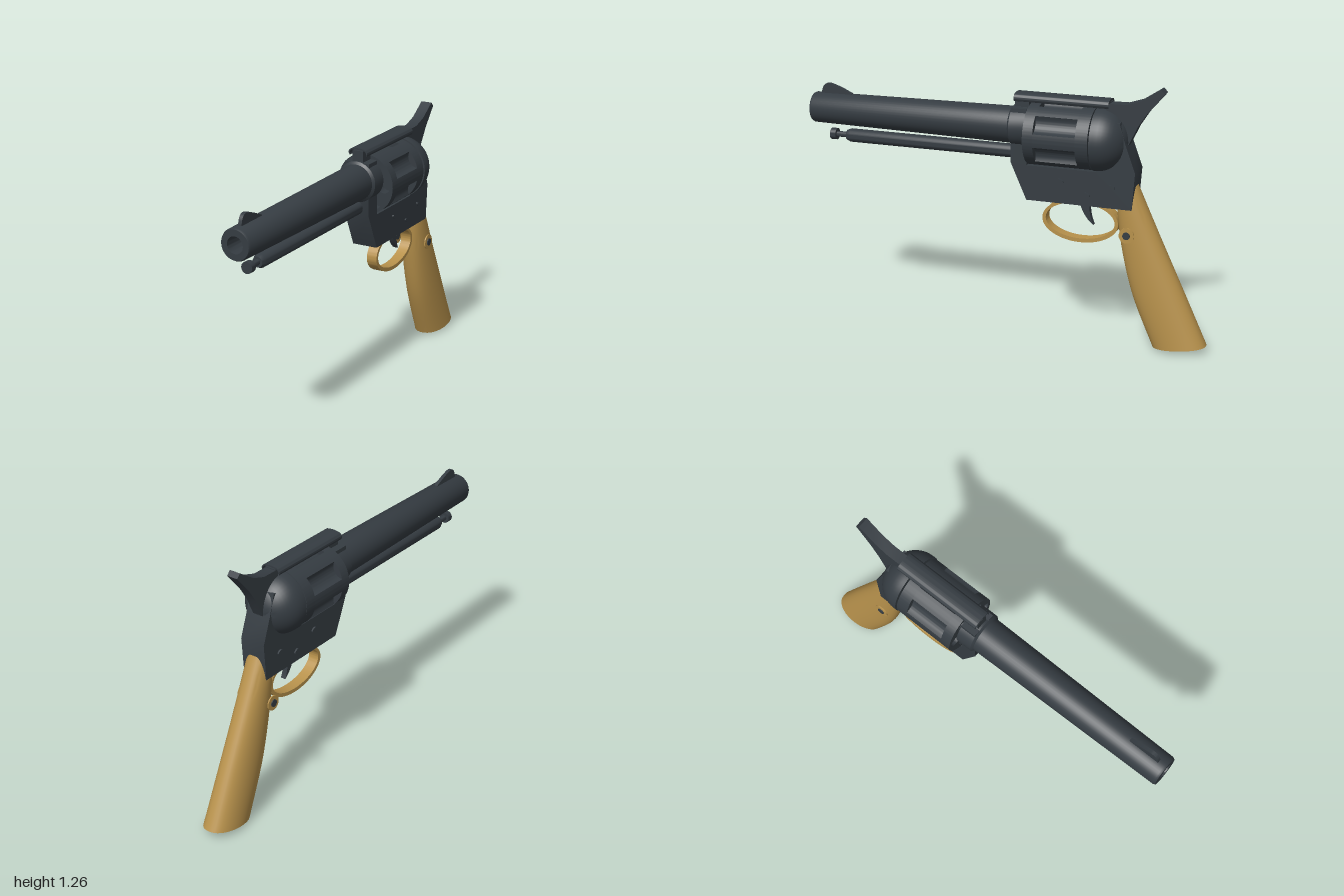
import * as THREE from 'three';
import { toCreasedNormals } from 'three/addons/utils/BufferGeometryUtils.js';

const V2 = (p) => new THREE.Vector2(p[0], p[1]);

export function createModel() {
  const model = new THREE.Group();
  const steel = new THREE.MeshStandardMaterial({ color: 0x353c42 });
  steel.name = 'dark steel';
  const brass = new THREE.MeshStandardMaterial({ color: 0xb8924c });
  brass.name = 'warm brass';

  const add = (name, geometry, material, x = 0, y = 0, z = 0) => {
    const mesh = new THREE.Mesh(toCreasedNormals(geometry, 0.6), material);
    mesh.name = name;
    mesh.position.set(x, y, z);
    model.add(mesh);
    return mesh;
  };
  // side outline given as (z, y), extruded across x
  const plate = (shape, width, curveSegments = 12) =>
    new THREE.ExtrudeGeometry(shape, { depth: width, bevelEnabled: false, curveSegments })
      .translate(0, 0, -width / 2).rotateY(-Math.PI / 2);
  const outline = (pts) => new THREE.Shape(pts.map(V2));
  // turned part along z, profile given as (radius, z) from back to front
  const turned = (pts, segments = 40) =>
    new THREE.LatheGeometry(pts.map(V2), segments).rotateX(Math.PI / 2);
  // front outline (x, y) extruded from z0 to z1
  const along = (shape, z0, z1) =>
    new THREE.ExtrudeGeometry(shape, { depth: z1 - z0, bevelEnabled: false, curveSegments: 16 })
      .translate(0, 0, z0);

  // barrel with collar and bore
  add('barrel', turned([[0, -0.12], [0.1, -0.12], [0.1, -0.04], [0.088, -0.03], [0.075, 0.99],
    [0.07, 1], [0.04, 1], [0.036, 0.9], [0, 0.9]]), steel, 0, 1.035);
  const sight = new THREE.Shape();
  sight.moveTo(0.96, 1.09);
  sight.quadraticCurveTo(0.96, 1.16, 0.92, 1.16);
  sight.quadraticCurveTo(0.87, 1.15, 0.8, 1.115);
  sight.lineTo(0.8, 1.09);
  add('frontSight', plate(sight, 0.018), steel);

  // ejector tube, rod and knob
  add('ejector', turned([[0, -0.06], [0.033, -0.06], [0.033, 0.81], [0.025, 0.83], [0.014, 0.83],
    [0.014, 0.885], [0.028, 0.885], [0.028, 0.915], [0, 0.915]], 24), steel, 0, 0.906);

  // frame
  add('frame', plate(outline([[-0.04, 1.13], [-0.04, 0.87], [-0.12, 0.69], [-0.635, 0.69], [-0.648, 0.87],
    [-0.6, 1], [-0.57, 1.1], [-0.46, 1.1], [-0.46, 0.86], [-0.12, 0.86], [-0.12, 1.13]]), 0.13), steel);

  // top strap: inner bar under a thin arched cover
  add('strapBar', plate(outline([[-0.05, 1.185], [-0.51, 1.185], [-0.51, 1.155], [-0.12, 1.155],
    [-0.12, 1.12], [-0.05, 1.12]]), 0.056), steel);
  const cover = new THREE.Shape();
  cover.moveTo(-0.044, 1.16);
  cover.quadraticCurveTo(-0.06, 1.18, -0.035, 1.194);
  cover.quadraticCurveTo(0, 1.202, 0.035, 1.194);
  cover.quadraticCurveTo(0.06, 1.18, 0.044, 1.16);
  cover.quadraticCurveTo(0.05, 1.178, 0.033, 1.187);
  cover.quadraticCurveTo(0, 1.192, -0.033, 1.187);
  cover.quadraticCurveTo(-0.05, 1.178, -0.044, 1.16);
  add('strapCover', along(cover, -0.51, -0.05), steel);

  // drum: bored front, fluted middle, plain back
  const R = 0.148;
  const drumShape = (fluteDepth) => {
    const pts = [];
    for (let i = 0; i < 144; i++) {
      const a = (i / 144) * Math.PI * 2;
      const off = Math.abs((a % (Math.PI / 3)) - Math.PI / 6) / 0.29;
      const r = R - (off < 1 ? fluteDepth * Math.sqrt(1 - off * off) : 0);
      pts.push([Math.cos(a) * r, Math.sin(a) * r]);
    }
    return outline(pts);
  };
  const bored = drumShape(0);
  for (let i = 0; i < 6; i++) {
    const a = (i / 6) * Math.PI * 2;
    const hole = new THREE.Path();
    hole.absarc(Math.cos(a) * 0.1, Math.sin(a) * 0.1, 0.033, 0, Math.PI * 2, true);
    bored.holes.push(hole);
  }
  add('drumFront', along(bored, -0.175, -0.125), steel, 0, 1.003);
  add('drumFlutes', along(drumShape(0.03), -0.38, -0.175), steel, 0, 1.003);
  add('drumBack', along(drumShape(0), -0.44, -0.38), steel, 0, 1.003);
  add('drumPin', turned([[0, -0.47], [0.03, -0.47], [0.03, -0.1], [0, -0.1]], 20), steel, 0, 1.003);

  // domed shield behind the drum
  const dome = [];
  for (let i = 0; i <= 12; i++) {
    const a = (i / 12) * Math.PI / 2;
    dome.push([0.152 * Math.sin(a), -0.465 - 0.14 * Math.cos(a)]);
  }
  dome.push([0.152, -0.447], [0, -0.447]);
  add('recoilShield', turned(dome, 48), steel, 0, 1.003);

  // hammer
  add('hammer', plate(outline([[-0.48, 1.1], [-0.5, 1.18], [-0.59, 1.182], [-0.66, 1.205], [-0.75, 1.265],
    [-0.77, 1.245], [-0.69, 1.15], [-0.645, 1.08], [-0.603, 0.99], [-0.52, 0.99]]), 0.056), steel);

  // trigger and guard
  const trigger = new THREE.Shape();
  trigger.moveTo(-0.365, 0.7);
  trigger.quadraticCurveTo(-0.385, 0.62, -0.437, 0.583);
  trigger.quadraticCurveTo(-0.41, 0.64, -0.42, 0.7);
  add('trigger', plate(trigger, 0.026), steel);
  const guard = new THREE.Shape();
  guard.absellipse(-0.375, 0.6, 0.187, 0.105, 0, Math.PI * 2);
  const opening = new THREE.Path();
  opening.absellipse(-0.375, 0.602, 0.17, 0.088, 0, Math.PI * 2, true);
  guard.holes.push(opening);
  add('triggerGuard', plate(guard, 0.054, 48), brass);

  // grip: oval sections between a front and a back curve
  const curve = (pts) => new THREE.SplineCurve(pts.map(V2));
  const front = curve([[-0.55, 0.7], [-0.575, 0.5], [-0.635, 0.26], [-0.74, 0.012]]);
  const back = curve([[-0.645, 0.8], [-0.76, 0.55], [-0.88, 0.295], [-0.997, 0.04]]);
  const rings = 16, sides = 40, pos = [], index = [];
  for (let i = 0; i <= rings; i++) {
    const t = i / rings, f = front.getPoint(t), b = back.getPoint(t), w = 0.061 + 0.021 * t;
    for (let k = 0; k < sides; k++) {
      const a = (k / sides) * Math.PI * 2, c = (1 + Math.cos(a)) / 2, s = Math.sin(a);
      pos.push(Math.sign(s) * Math.pow(Math.abs(s), 0.85) * w, b.y + (f.y - b.y) * c, b.x + (f.x - b.x) * c);
      if (i < rings) {
        const p = i * sides + k, q = i * sides + (k + 1) % sides;
        index.push(p, p + sides, q, q, p + sides, q + sides);
      }
    }
  }
  pos.push(0, 0.006, -0.86);
  for (let k = 0; k < sides; k++)
    index.push((rings + 1) * sides, rings * sides + (k + 1) % sides, rings * sides + k);
  const grip = new THREE.BufferGeometry();
  grip.setAttribute('position', new THREE.Float32BufferAttribute(pos, 3));
  grip.setIndex(index);
  add('grip', grip, brass);

  // mirrored screws
  const disc = (r, h) => new THREE.CylinderGeometry(r, r, h, 24).rotateZ(Math.PI / 2);
  for (const side of [1, -1]) {
    add('gripRosette', disc(0.037, 0.006), brass, side * 0.088, 0.573, -0.62);
    add('gripScrew', disc(0.018, 0.012), steel, side * 0.09, 0.573, -0.62);
    for (const [z, y] of [[-0.29, 0.8], [-0.42, 0.745], [-0.54, 0.795]]) {
      const screw = add('frameScrew', disc(0.016, 0.014).scale(1, 0.5, 1), steel, side * 0.066, y, z);
      screw.rotation.x = -0.5;
    }
  }
  return model;
}
